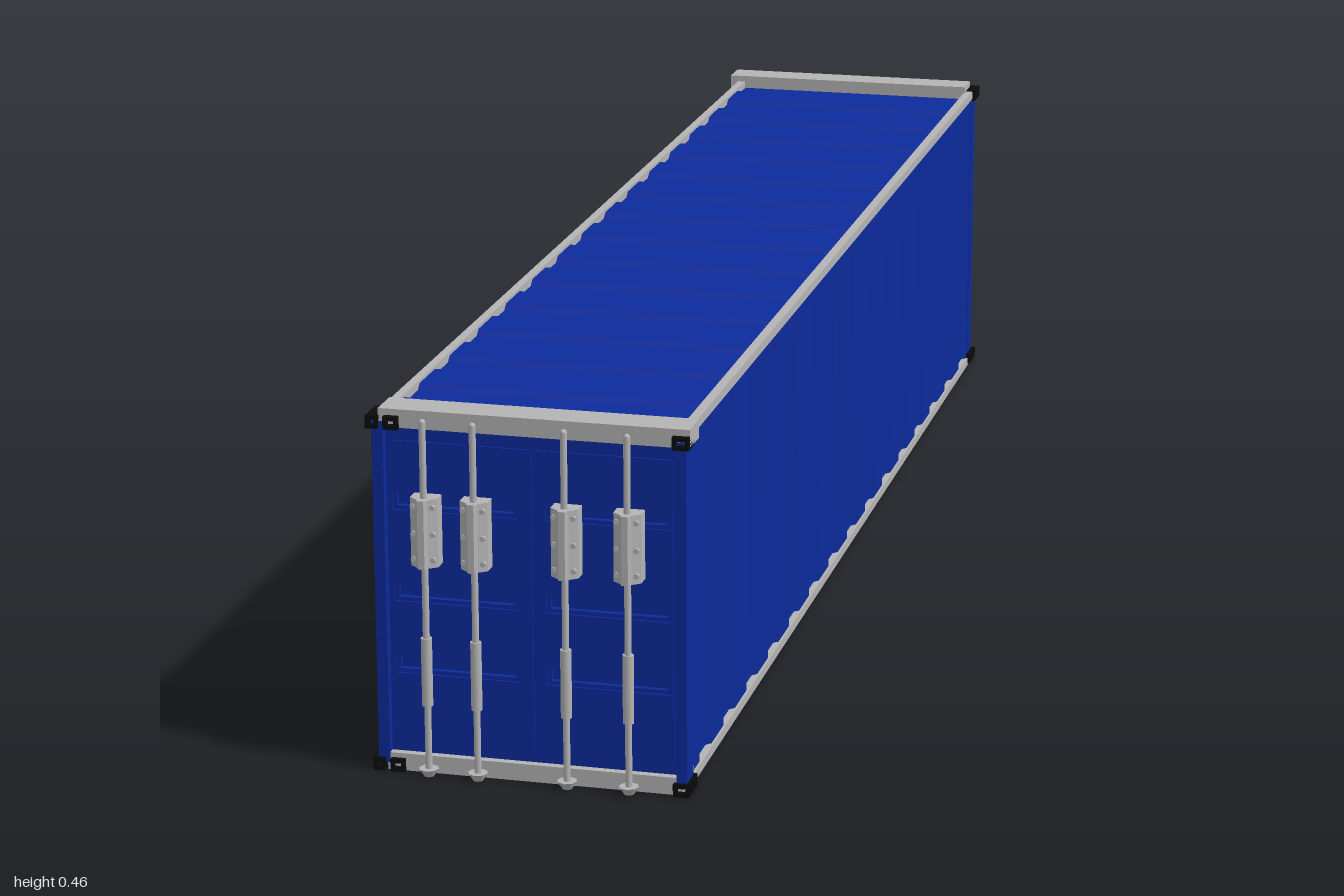
import * as THREE from 'three';

const blue = new THREE.MeshStandardMaterial({ color: 0x0c2a9c, flatShading: true });
const grey = new THREE.MeshStandardMaterial({ color: 0xb4b4b4, flatShading: true });
const smoothGrey = new THREE.MeshStandardMaterial({ color: 0xb4b4b4 });
const black = new THREE.MeshStandardMaterial({ color: 0x0a0a0a });

function add(parent, name, geometry, material) {
  const mesh = new THREE.Mesh(geometry, material);
  mesh.name = name;
  parent.add(mesh);
  return mesh;
}

// Box given by its minimum and maximum on each axis
function box(parent, name, material, x0, x1, y0, y1, z0, z1) {
  const mesh = add(parent, name, new THREE.BoxGeometry(x1 - x0, y1 - y0, z1 - z0), material);
  mesh.position.set((x0 + x1) / 2, (y0 + y1) / 2, (z0 + z1) / 2);
  return mesh;
}

function rect(T, x0, x1, y0, y1) {
  return new T([[x0, y0], [x1, y0], [x1, y1], [x0, y1]].map(p => new THREE.Vector2(...p)));
}

// Upright plate with rectangular openings, from z0 to z1
function plate(parent, name, material, bounds, openings, z0, z1) {
  const shape = rect(THREE.Shape, ...bounds);
  openings.forEach(o => shape.holes.push(rect(THREE.Path, ...o)));
  const geo = new THREE.ExtrudeGeometry(shape, { depth: z1 - z0, bevelEnabled: false });
  add(parent, name, geo, material).position.z = z0;
}

// Sheet with narrow grooves along z: u is the length, v the outward direction
function corrugated(width, start, end, depth, thickness) {
  const pts = [[start, 0]];
  for (let k = -8; k <= 6; k++) {
    const c = 0.097 + 0.125 * k;
    pts.push([c - 0.031, 0], [c - 0.022, -depth], [c + 0.022, -depth], [c + 0.031, 0]);
  }
  pts.push([end, 0], [end, -thickness], [start, -thickness]);
  const shape = new THREE.Shape(pts.map(p => new THREE.Vector2(...p)));
  return new THREE.ExtrudeGeometry(shape, { depth: width, bevelEnabled: false });
}

// Corner casting with an opening in its end face
function casting(parent, x0, x1, y) {
  const w = x1 - x0, m = Math.min(w, 0.015) * 0.3;
  plate(parent, 'cornerCasting', black, [x0, x1, y, y + 0.016],
    [[x0 + m, x1 - m, y + 0.005, y + 0.011]], 0.955, 0.968);
  box(parent, 'cornerCastingBody', black, x0, x1, y, y + 0.016, 0.925, 0.955);
}

// Locking rod with sleeve, foot and bolted bracket
function lockingRod(x) {
  const g = new THREE.Group();
  g.name = 'lockingRod';
  g.position.set(x, 0, 0.973);
  const tube = (name, r0, r1, y0, y1, sides = 14) => {
    const m = add(g, name, new THREE.CylinderGeometry(r1, r0, y1 - y0, sides), smoothGrey);
    m.position.y = (y0 + y1) / 2;
    return m;
  };
  tube('rod', 0.0042, 0.0042, 0.015, 0.456);
  const tip = add(g, 'rodTip', new THREE.SphereGeometry(0.0042, 12, 8), smoothGrey);
  tip.position.y = 0.456;
  tube('sleeve', 0.0068, 0.0068, 0.098, 0.185);
  const foot = tube('foot', 0.006, 0.0125, 0.007, 0.017, 8);
  foot.material = grey;
  // Bracket cross-section, extruded upward
  const profile = [[-0.017, 0.02], [-0.017, 0.002], [-0.007, -0.006], [-0.004, -0.012],
    [0.004, -0.012], [0.007, -0.006], [0.017, 0.002], [0.017, 0.02]];
  const shape = new THREE.Shape(profile.map(p => new THREE.Vector2(...p)));
  const bracket = add(g, 'bracket',
    new THREE.ExtrudeGeometry(shape, { depth: 0.086, bevelEnabled: false }), grey);
  bracket.rotation.x = -Math.PI / 2;
  bracket.position.y = 0.276;
  bracket.position.z = 0.002;
  for (const side of [-1, 1]) for (const y of [0.286, 0.318, 0.352]) {
    const bolt = add(g, 'bolt', new THREE.CylinderGeometry(0.0035, 0.0035, 0.008, 8), smoothGrey);
    bolt.rotation.x = Math.PI / 2;
    bolt.position.set(side * 0.012, y, 0.003);
  }
  return g;
}

// One end wall: doors, posts, header, sill, castings and rods
function makeEnd(name) {
  const g = new THREE.Group();
  g.name = name;
  box(g, 'doorBacking', blue, -0.185, 0.19, 0.02, 0.446, 0.93, 0.944);
  const slots = (x0, x1, inset) => [0.13, 0.222, 0.338].map(
    y => [x0 + inset, x1 - inset, y + inset, y + 0.025 - inset]);
  const left = [-0.172, -0.017], right = [0.018, 0.172];
  plate(g, 'doorPanel', blue, [-0.185, 0.19, 0.026, 0.445],
    [...slots(...left, 0.005), ...slots(...right, 0.005)], 0.944, 0.951);
  plate(g, 'leftLeaf', blue, [-0.174, 0.001, 0.042, 0.425], slots(...left, 0), 0.951, 0.954);
  plate(g, 'rightLeaf', blue, [0.005, 0.175, 0.042, 0.425], slots(...right, 0), 0.951, 0.954);
  box(g, 'cornerPost', blue, -0.194, -0.18, 0.015, 0.45, 0.93, 0.962);
  box(g, 'cornerPost', blue, 0.18, 0.193, 0.015, 0.45, 0.93, 0.962);
  box(g, 'header', grey, -0.186, 0.197, 0.443, 0.466, 0.914, 0.96);
  box(g, 'sill', grey, -0.183, 0.19, 0.006, 0.028, 0.915, 0.961);
  for (const y of [0.006, 0.442]) {
    casting(g, -0.2, -0.185, y);
    casting(g, -0.178, -0.16, y);
    casting(g, 0.177, 0.197, y);
  }
  [-0.127, -0.065, 0.047, 0.124].forEach(x => g.add(lockingRod(x)));
  return g;
}

export function createModel() {
  const model = new THREE.Group();
  model.name = 'shippingContainer';

  // Corrugated roof and side walls
  const roof = add(model, 'roof', corrugated(0.364, -0.955, 0.945, 0.007, 0.012), blue);
  roof.rotation.y = -Math.PI / 2;
  roof.position.set(0.182, 0.456, 0);

  const wallGeo = corrugated(0.438, -0.955, 0.945, 0.008, 0.013);
  // Turn the sheet upright: length to z, outward to x, width to y
  wallGeo.applyMatrix4(new THREE.Matrix4().makeBasis(
    new THREE.Vector3(0, 0, 1), new THREE.Vector3(1, 0, 0), new THREE.Vector3(0, 1, 0)));
  add(model, 'leftWall', wallGeo, blue).position.set(0.188, 0.014, 0);

  const mirrored = corrugated(0.438, -0.945, 0.955, 0.008, 0.013);
  mirrored.dispose();
  const rightWall = add(model, 'rightWall', wallGeo, blue);
  rightWall.scale.x = -1;
  rightWall.position.set(-0.192, 0.014, 0);

  // Floor and long rails
  box(model, 'floor', blue, -0.182, 0.182, 0.01, 0.02, -0.95, 0.94);
  box(model, 'topRail', grey, -0.19, -0.179, 0.448, 0.46, -0.95, 0.94);
  box(model, 'topRail', grey, 0.179, 0.191, 0.448, 0.46, -0.95, 0.94);
  box(model, 'bottomRail', grey, -0.193, -0.178, 0.006, 0.018, -0.95, 0.94);
  box(model, 'bottomRail', grey, 0.178, 0.191, 0.006, 0.018, -0.95, 0.94);

  // Matching door ends
  model.add(makeEnd('frontEnd'));
  const back = makeEnd('backEnd');
  back.rotation.y = Math.PI;
  back.position.set(-0.005, 0.003, -0.012);
  model.add(back);
  return model;
}
